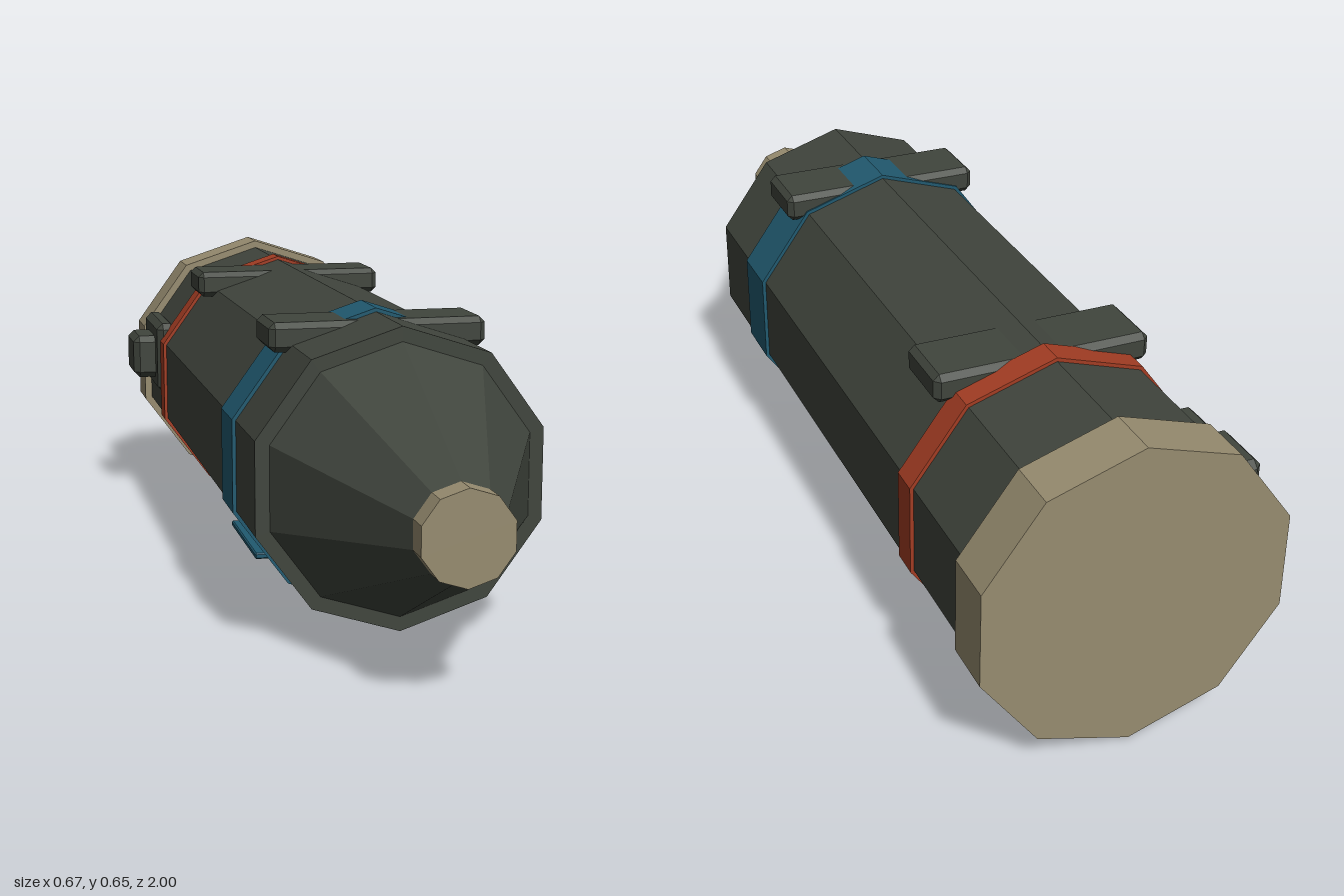
import * as THREE from 'three';
import { ConvexGeometry } from 'three/addons/geometries/ConvexGeometry.js';

const AXIS_X = 0.025, AXIS_Y = 0.325, SIDES = 10;

const makeMaterial = (name, color) => {
  const m = new THREE.MeshStandardMaterial({ color });
  m.name = name;
  return m;
};

// Faceted ten-sided section along z, with one corner pointing straight up
function section(z0, z1, backRadius, frontRadius = backRadius) {
  const g = new THREE.CylinderGeometry(frontRadius, backRadius, z1 - z0, SIDES)
    .rotateX(Math.PI / 2)
    .translate(AXIS_X, AXIS_Y, (z0 + z1) / 2)
    .toNonIndexed();
  g.computeVertexNormals();
  return g;
}

// Box with every edge chamfered by c
function chamferBox([x0, x1], [y0, y1], [z0, z1], c) {
  const half = [(x1 - x0) / 2, (y1 - y0) / 2, (z1 - z0) / 2];
  const points = [];
  for (const sx of [-1, 1]) for (const sy of [-1, 1]) for (const sz of [-1, 1]) {
    for (let full = 0; full < 3; full++) {
      const [a, b, d] = half.map((h, i) => (i === full ? h : h - c));
      points.push(new THREE.Vector3(sx * a, sy * b, sz * d));
    }
  }
  return new ConvexGeometry(points).translate((x0 + x1) / 2, (y0 + y1) / 2, (z0 + z1) / 2);
}

export function createModel() {
  const model = new THREE.Group();
  model.name = 'finlessCanister';

  const dark = makeMaterial('dark green grey', 0x40453d);
  const tan = makeMaterial('tan', 0x978c70);
  const blue = makeMaterial('deep blue', 0x215a70);
  const red = makeMaterial('rust red', 0xa33d23);

  const add = (name, geometry, material) => {
    const mesh = new THREE.Mesh(geometry, material);
    mesh.name = name;
    model.add(mesh);
  };

  // Main hull from tail to nose
  add('tailCap', section(-1, -0.89, 0.323), tan);
  add('body', section(-0.89, 0.575, 0.305), dark);
  add('noseCone', section(0.575, 0.95, 0.275, 0.09), dark);
  add('noseTip', section(0.945, 1, 0.09), tan);

  // Painted bands
  add('frontBand', section(0.255, 0.377, 0.313), blue);
  add('rearBand', section(-0.65, -0.59, 0.313), red);

  // Mounting lugs across the top
  for (const [name, z] of [['frontLug', 0.332], ['rearLug', -0.528]]) {
    add(name, chamferBox([-0.2, 0.25], [0.557, 0.617], [z - 0.073, z + 0.073], 0.012), dark);
  }

  // Side connector: base plate and raised housing
  add('connectorPlate', chamferBox([-0.28, -0.23], [0.285, 0.465], [-0.885, -0.64], 0.015), dark);
  add('connectorHousing', chamferBox([-0.335, -0.26], [0.319, 0.427], [-0.83, -0.69], 0.015), dark);

  // Belly plate
  add('bellyPlate', chamferBox([-0.15, 0.2], [0.009, 0.023], [-0.32, -0.02], 0.003), blue);

  return model;
}
